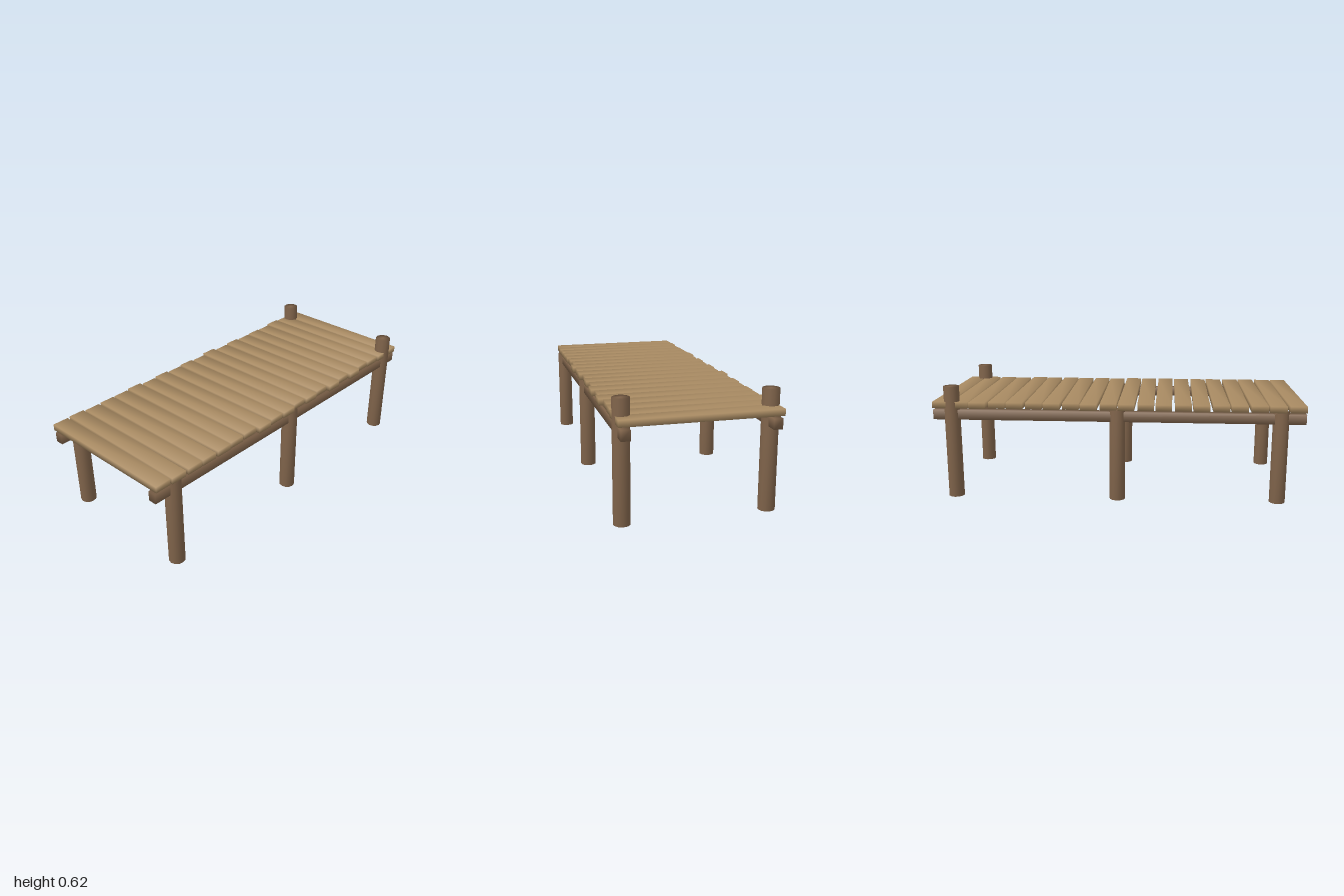
import * as THREE from 'three';
import { mergeVertices } from 'three/addons/utils/BufferGeometryUtils.js';

// Welds all corners so the normals blend softly across the edges
function soften(geometry) {
  geometry.deleteAttribute('uv');
  geometry.deleteAttribute('normal');
  const welded = mergeVertices(geometry, 1e-4);
  welded.computeVertexNormals();
  return welded;
}

export function createModel() {
  const model = new THREE.Group();
  model.name = 'woodenDock';

  const plankWood = new THREE.MeshStandardMaterial({ color: 0xa88a62 });
  plankWood.name = 'light plank wood';
  const postWood = new THREE.MeshStandardMaterial({ color: 0x7f634a });
  postWood.name = 'dark post wood';

  const add = (name, geometry, material, x, y, z) => {
    const mesh = new THREE.Mesh(soften(geometry), material);
    mesh.name = name;
    mesh.position.set(x, y, z);
    model.add(mesh);
    return mesh;
  };

  // Deck planks: slightly uneven ends and alternating skew
  const leftEnds = [40, 40, 41, 395, 40, 395, 405, 395, 415, 395, 405, 395, 405, 395, 41, 40, 40, 395, 405, 40]
    .map((v) => (v > 100 ? v / 1000 : v / 100));
  const rightEnds = [40, 40, 395, 39, 41, 395, 41, 39, 40, 39, 405, 40, 41, 39, 395, 40, 40, 40, 40, 395]
    .map((v) => (v > 100 ? v / 1000 : v / 100));
  const count = leftEnds.length;
  const depth = 0.088;
  for (let i = 0; i < count; i++) {
    const width = leftEnds[i] + rightEnds[i];
    const z = (i / (count - 1) - 0.5) * (2 - depth - 0.004);
    const plank = add('plank', new THREE.BoxGeometry(width, 0.034, depth), plankWood,
      (rightEnds[i] - leftEnds[i]) / 2, 0.518, z);
    plank.rotation.y = (i % 2 ? 1 : -1) * 0.005;
  }

  // Long beams and round posts on both sides; the rear posts rise above the deck
  const posts = [['frontPost', 0.87, 0.5], ['middlePost', 0, 0.5], ['rearPost', -0.9, 0.617]];
  for (const side of [-1, 1]) {
    const x = side * 0.367;
    add('beam', new THREE.BoxGeometry(0.046, 0.053, 2), postWood, x, 0.463, 0);
    for (const [name, z, height] of posts) {
      add(name, new THREE.CylinderGeometry(0.043, 0.043, height, 12), postWood, x, height / 2, z);
    }
  }
  return model;
}
